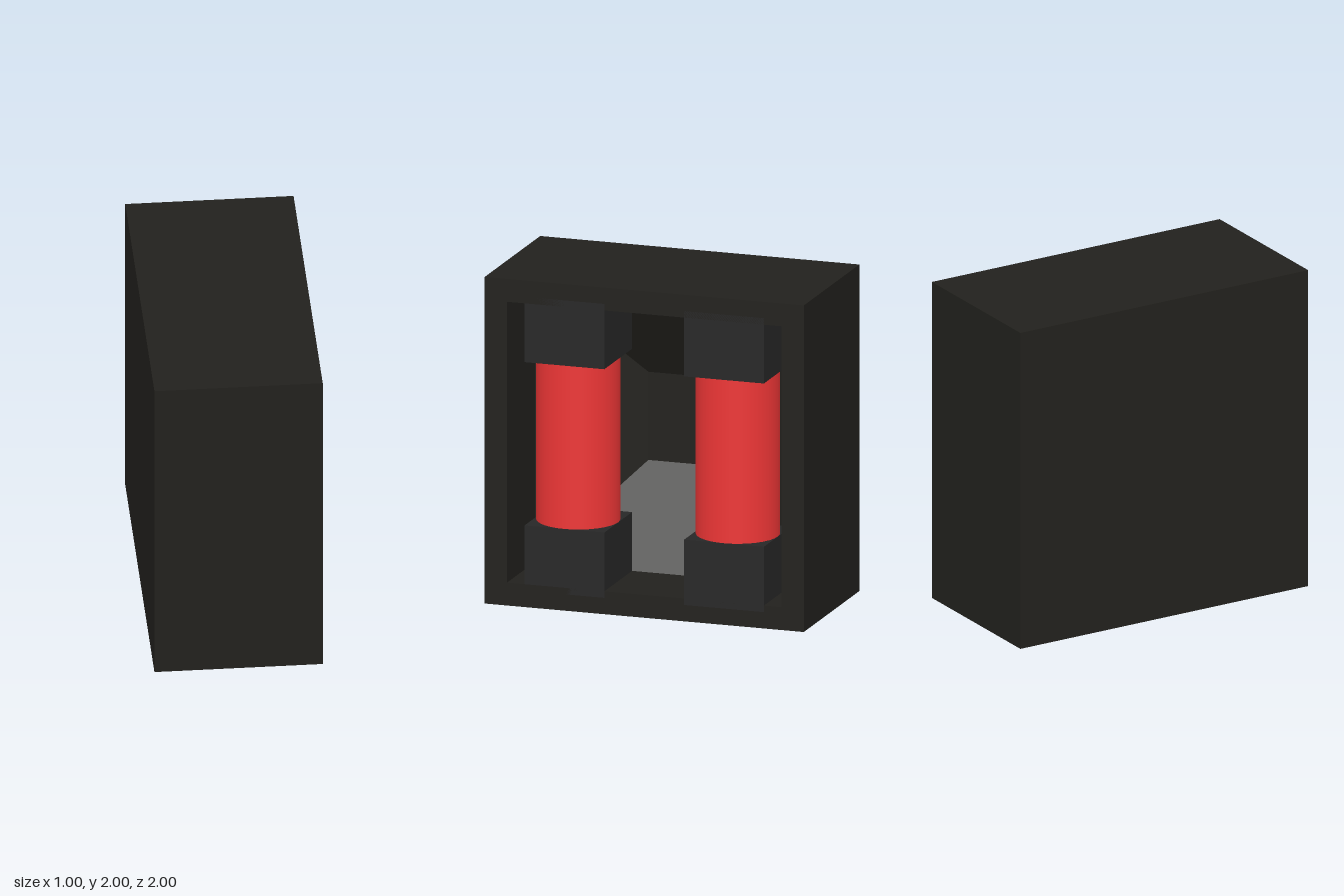
import * as THREE from 'three';

export function createModel() {
  const model = new THREE.Group();
  const caseMat = new THREE.MeshStandardMaterial({ color: 0x22211d, flatShading: true });
  const blockMat = new THREE.MeshStandardMaterial({ color: 0x272727 });
  const redMat = new THREE.MeshStandardMaterial({ color: 0xee3636 });

  const add = (name, geometry, material, x, y, z) => {
    const mesh = new THREE.Mesh(geometry, material);
    mesh.name = name;
    mesh.position.set(x, y, z);
    model.add(mesh);
  };

  // Case: square sections (half width, depth) from the back panel, round the rim,
  // into the open cavity and down to its tapered floor
  const sections = [[0, -0.5], [1, -0.5], [1, 0.5], [0.86, 0.5], [0.86, 0], [0.27, -0.35], [0, -0.35]];
  const profile = sections.map(([half, depth]) => new THREE.Vector2(half * Math.SQRT2, depth));
  const shell = new THREE.LatheGeometry(profile, 4, Math.PI / 4);
  shell.rotateZ(-Math.PI / 2);
  add('case', shell, caseMat, 0, 1, 0);

  // Two red tubes, each held between an upper and a lower block
  const block = new THREE.BoxGeometry(0.5, 0.4, 0.5);
  const tube = new THREE.CylinderGeometry(0.25, 0.25, 1, 32);
  for (const [side, z] of [['front', 0.5], ['back', -0.5]]) {
    add(side + 'Tube', tube, redMat, 0.25, 1, z);
    add(side + 'LowerBlock', block, blockMat, 0.25, 0.3, z);
    add(side + 'UpperBlock', block, blockMat, 0.25, 1.7, z);
  }
  return model;
}
